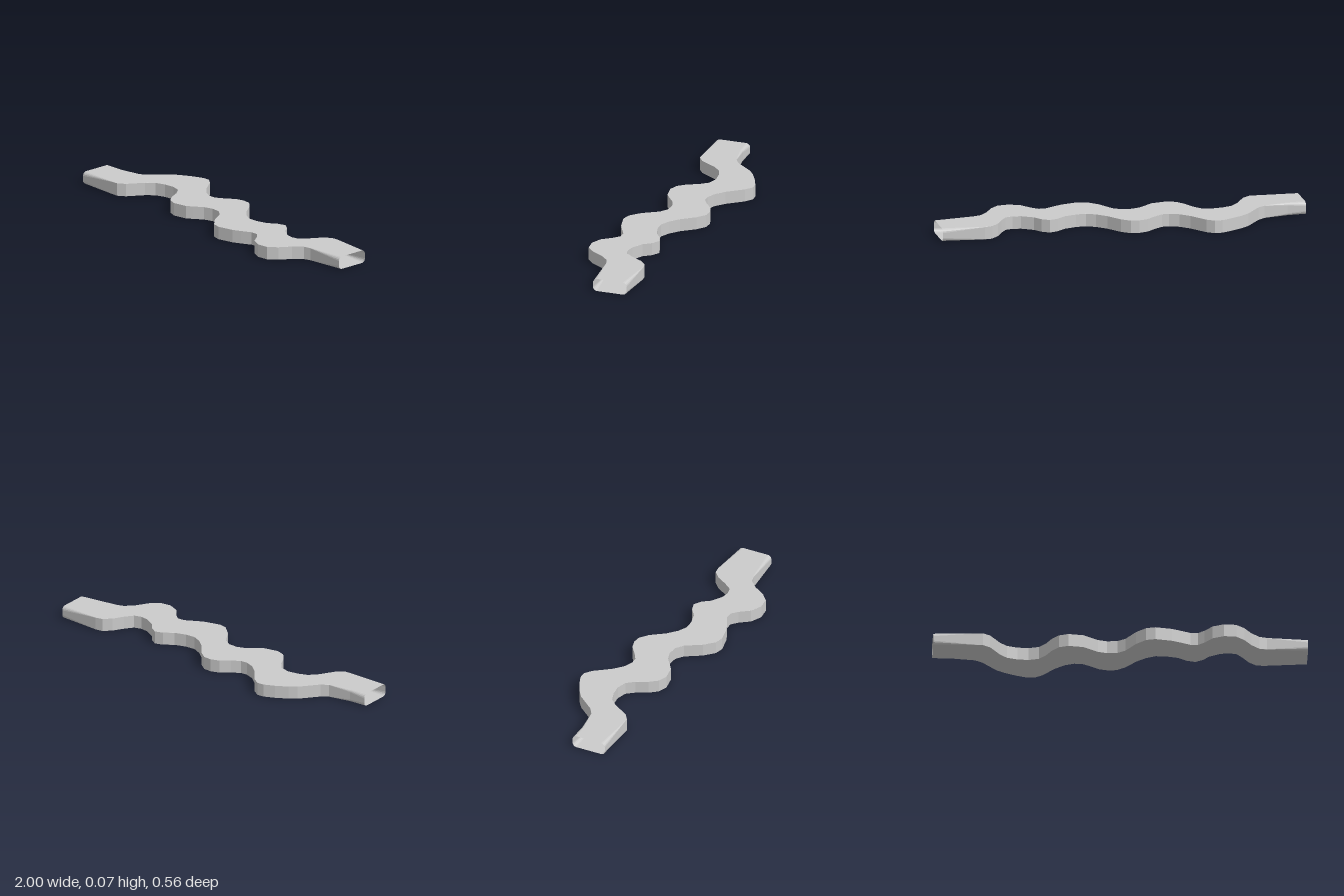
import * as THREE from 'three';

const HEIGHT = 0.07;
const END_RADIUS = 0.022;
const TAPER = 0.25; // length over which the rounded mouth turns square
const CORNER_STEPS = 4;

// Side edges in plan: x, z pairs
const backEdge = [
  -1, -0.077, -0.9, -0.07, -0.77, -0.08, -0.73, -0.105, -0.65, -0.2, -0.61, -0.228, -0.545, -0.262,
  -0.485, -0.285, -0.445, -0.285, -0.405, -0.255, -0.34, -0.168, -0.29, -0.122, -0.24, -0.1, -0.2, -0.1,
  -0.155, -0.127, -0.105, -0.165, -0.055, -0.178, -0.01, -0.172, 0.035, -0.135, 0.09, -0.06, 0.14, -0.014,
  0.19, 0.012, 0.245, 0.012, 0.31, -0.005, 0.36, -0.04, 0.405, -0.052, 0.445, -0.025, 0.475, 0.017,
  0.535, 0.055, 0.58, 0.064, 0.62, 0.055, 0.655, 0.01, 0.69, -0.047, 0.73, -0.083, 0.77, -0.088, 1, -0.075,
];
const frontEdge = [
  -1, 0.115, -0.735, 0.115, -0.695, 0.088, -0.64, 0, -0.6, -0.04, -0.545, -0.058, -0.485, -0.063,
  -0.43, -0.046, -0.395, -0.002, -0.365, 0.06, -0.33, 0.104, -0.28, 0.124, -0.2, 0.112, -0.165, 0.088,
  -0.12, 0.055, -0.07, 0.04, -0.015, 0.045, 0.027, 0.076, 0.08, 0.163, 0.132, 0.215, 0.18, 0.228,
  0.27, 0.21, 0.315, 0.19, 0.37, 0.163, 0.41, 0.163, 0.445, 0.195, 0.485, 0.25, 0.545, 0.28,
  0.61, 0.275, 0.655, 0.235, 0.695, 0.172, 0.74, 0.128, 0.78, 0.118, 1, 0.115,
];

// z of an edge at a given x
function edgeAt(edge, x) {
  let i = 0;
  while (i < edge.length - 4 && x > edge[i + 2]) i += 2;
  const t = (x - edge[i]) / (edge[i + 2] - edge[i]);
  return THREE.MathUtils.lerp(edge[i + 1], edge[i + 3], t);
}

// Rounded-rectangle cross-section at x, as [x, y, z] points
function section(x) {
  const taper = Math.max(0, 1 - (1 - Math.abs(x)) / TAPER);
  const r = Math.max(0.0003, END_RADIUS * taper);
  const back = edgeAt(backEdge, x), front = edgeAt(frontEdge, x);
  const corners = [
    [front - r, HEIGHT - r], [back + r, HEIGHT - r],
    [back + r, r], [front - r, r],
  ];
  return corners.flatMap(([z, y], c) =>
    Array.from({ length: CORNER_STEPS + 1 }, (_, k) => {
      const a = (c + k / CORNER_STEPS) * Math.PI / 2;
      return [x, y + r * Math.sin(a), z + r * Math.cos(a)];
    }));
}

// Hollow skin lofted through the sections, both ends open
function channelGeometry() {
  const xs = [...backEdge, ...frontEdge].filter((_, i) => i % 2 === 0);
  const stations = [...new Set(xs)].sort((a, b) => a - b);
  const n = 4 * (CORNER_STEPS + 1);
  const index = [];
  for (let i = 0; i < stations.length - 1; i++) {
    for (let j = 0; j < n; j++) {
      const a = i * n + j, b = i * n + (j + 1) % n;
      index.push(a, a + n, b, b, a + n, b + n);
    }
  }
  const geometry = new THREE.BufferGeometry();
  geometry.setAttribute('position',
    new THREE.Float32BufferAttribute(stations.flatMap(section).flat(), 3));
  geometry.setIndex(index);
  geometry.computeVertexNormals();
  return geometry;
}

export function createModel() {
  const group = new THREE.Group();
  group.name = 'windingChannel';
  const material = new THREE.MeshStandardMaterial({
    color: 0xcccccc, flatShading: true, side: THREE.DoubleSide,
  });
  const channel = new THREE.Mesh(channelGeometry(), material);
  channel.name = 'channelShell';
  group.add(channel);
  return group;
}
